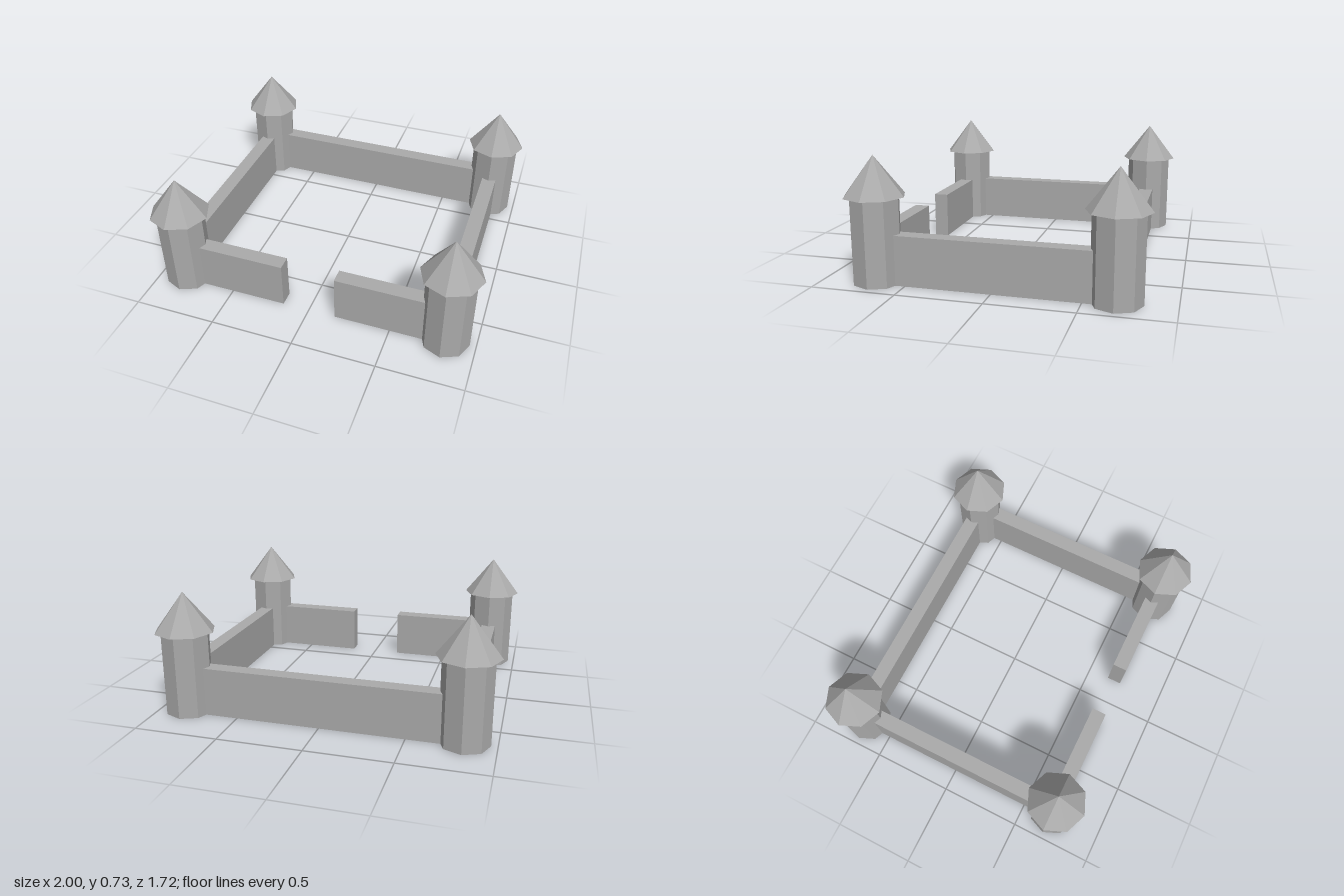
import * as THREE from 'three';

const TX = 0.82, TZ = 0.68;           // tower centres
const WALL_H = 0.29, WALL_T = 0.09;   // wall height and thickness
const GATE = 0.163;                   // half width of the gate opening

export function createModel() {
  const castle = new THREE.Group();
  castle.name = 'castle';
  const stone = new THREE.MeshStandardMaterial({ color: 0xaaaaaa, flatShading: true });
  stone.name = 'stone grey';

  const add = (parent, name, geometry, x, y, z) => {
    const mesh = new THREE.Mesh(geometry, stone);
    mesh.name = name;
    mesh.position.set(x, y, z);
    parent.add(mesh);
  };

  // Octagonal corner towers with pointed roofs
  const shaft = new THREE.CylinderGeometry(0.143, 0.143, 0.5, 8);
  const roof = new THREE.ConeGeometry(0.178, 0.23, 8);
  for (const [side, sx] of [['left', 1], ['right', -1]]) {
    for (const [end, sz] of [['front', 1], ['back', -1]]) {
      const tower = new THREE.Group();
      tower.name = `${end} ${side} tower`;
      tower.position.set(sx * TX, 0, sz * TZ);
      add(tower, 'tower shaft', shaft, 0, 0.25, 0);
      add(tower, 'tower roof', roof, 0, 0.615, 0);
      castle.add(tower);
    }

    // Side wall, and the front wall half that stops at the gate
    add(castle, `${side} wall`, new THREE.BoxGeometry(WALL_T, WALL_H, 2 * TZ), sx * TX, WALL_H / 2, 0);
    add(castle, `front ${side} wall`, new THREE.BoxGeometry(TX - GATE, WALL_H, WALL_T),
      sx * (TX + GATE) / 2, WALL_H / 2, TZ);
  }

  // Back wall
  add(castle, 'back wall', new THREE.BoxGeometry(2 * TX, WALL_H, WALL_T), 0, WALL_H / 2, -TZ);

  return castle;
}
